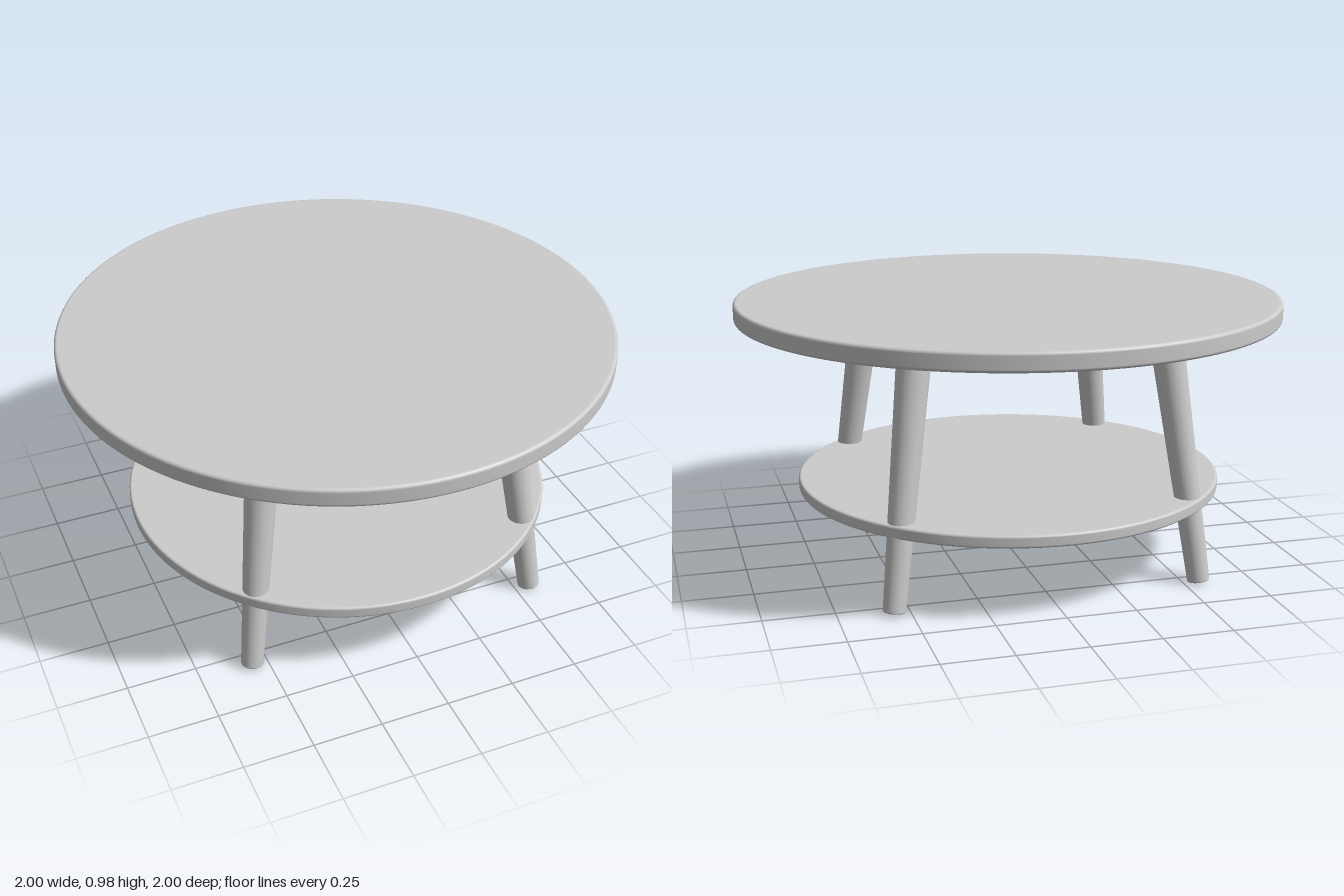
import * as THREE from 'three';

const grey = new THREE.MeshStandardMaterial({ color: 0xcccccc });
grey.name = 'light grey';

// Turned solid standing on y = 0, tapering from r0 to r1, with rounded rims
function turned(r0, r1, height, round, segments) {
  const steps = 5;
  const points = [new THREE.Vector2(0, 0), new THREE.Vector2(r0 - round * 1.2, 0)];
  const arc = (r, y, from) => {
    for (let i = 0; i <= steps; i++) {
      const a = from + (i / steps) * Math.PI / 2;
      points.push(new THREE.Vector2(r - round + round * Math.cos(a), y + round * Math.sin(a)));
    }
  };
  arc(r0, round, -Math.PI / 2);
  arc(r1, height - round, 0);
  points.push(new THREE.Vector2(r1 - round * 1.2, height), new THREE.Vector2(0, height));
  return new THREE.LatheGeometry(points, segments);
}

function addPart(group, name, geometry, y = 0) {
  const mesh = new THREE.Mesh(geometry, grey);
  mesh.name = name;
  mesh.position.y = y;
  group.add(mesh);
  return mesh;
}

export function createModel() {
  const table = new THREE.Group();
  table.name = 'roundTable';

  // Round top and lower shelf
  addPart(table, 'tableTop', turned(1, 1, 0.068, 0.012, 128), 0.913);
  addPart(table, 'shelf', turned(0.788, 0.788, 0.045, 0.009, 128), 0.27);

  // Four tapered legs splayed along the diagonals
  const up = new THREE.Vector3(0, 1, 0);
  const length = 0.94;
  const legGeometry = turned(0.04, 0.061, length, 0.005, 40);
  for (const sx of [1, -1]) {
    for (const sz of [1, -1]) {
      const foot = new THREE.Vector3(sx * 0.557, 0.006, sz * 0.557);
      const head = new THREE.Vector3(sx * 0.446, 0.915, sz * 0.446);
      const name = (sz > 0 ? 'front' : 'back') + (sx > 0 ? 'Left' : 'Right') + 'Leg';
      const leg = addPart(table, name, legGeometry);
      leg.position.copy(foot);
      leg.quaternion.setFromUnitVectors(up, head.sub(foot).normalize());
    }
  }
  return table;
}
